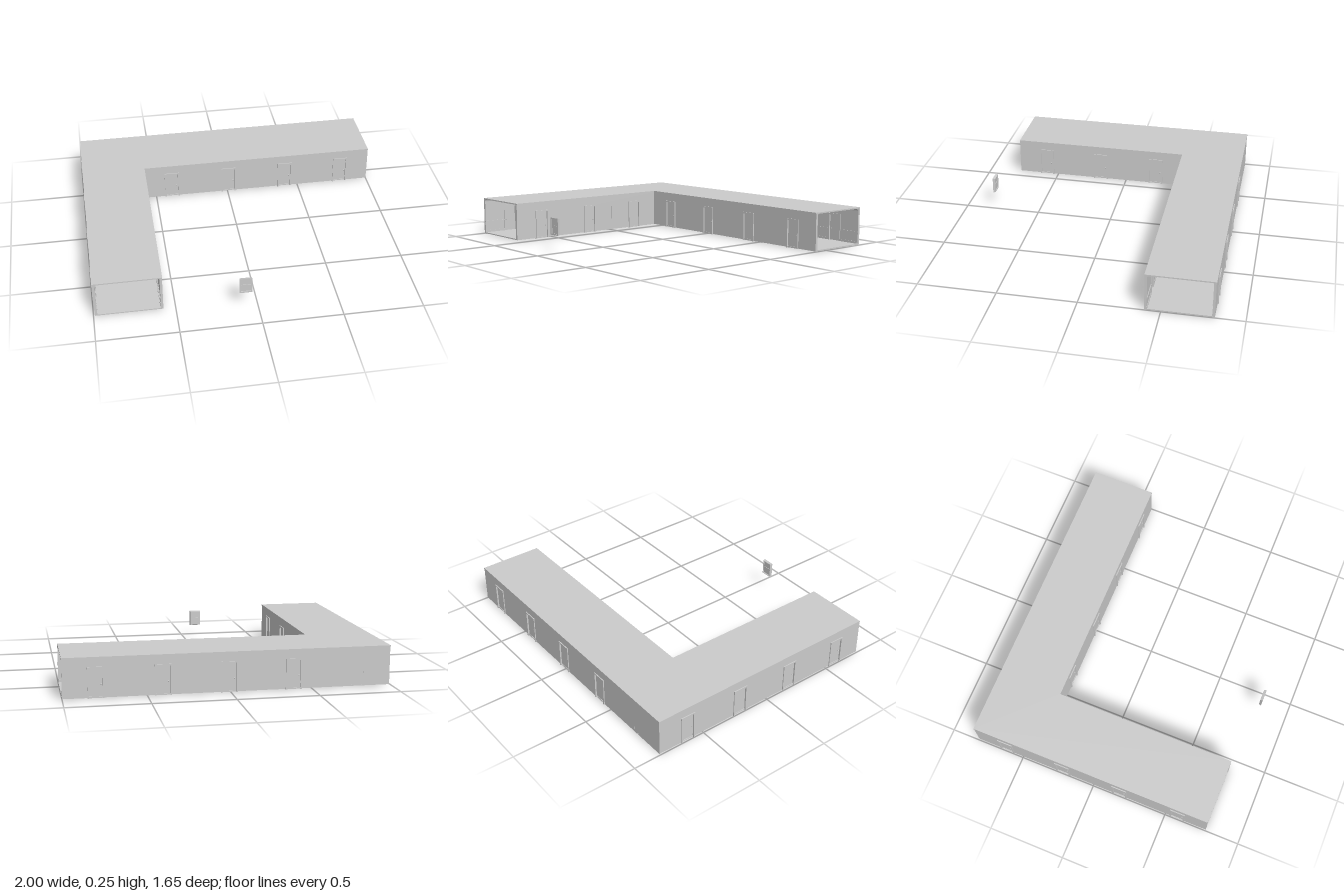
import * as THREE from 'three';

const GREY = new THREE.MeshStandardMaterial({ color: 0xcccccc, side: THREE.DoubleSide });

// Corridor outline and heights
const X0 = -0.992, X1 = -0.575, X2 = 1.0;
const Z0 = -0.819, Z1 = -0.402, Z2 = 0.778;
const FLOOR = 0.003, FLOOR_TOP = 0.01, CEILING = 0.239, TOP = 0.247;
const T = 0.015; // wall thickness
const DOOR = { w: 0.1, h: 0.188, trim: 0.009 };

function add(parent, name, geometry, x = 0, y = 0, z = 0) {
  const mesh = new THREE.Mesh(geometry, GREY);
  mesh.name = name;
  mesh.position.set(x, y, z);
  parent.add(mesh);
  return mesh;
}

function box(parent, name, w, h, d, x, y, z) {
  return add(parent, name, new THREE.BoxGeometry(w, h, d), x, y, z);
}

function polygon(points) {
  return new THREE.Shape(points.map(([x, y]) => new THREE.Vector2(x, y)));
}

function extrude(shape, depth) {
  return new THREE.ExtrudeGeometry(shape, { depth, bevelEnabled: false, curveSegments: 5 });
}

// L-shaped slab for floor and roof
function slab(parent, name, y, h, over) {
  const o = over;
  const shape = polygon([
    [X0 - o, -Z2], [X1 + o, -Z2], [X1 + o, -Z1 - o],
    [X2, -Z1 - o], [X2, -Z0 + o], [X0 - o, -Z0 + o],
  ]);
  add(parent, name, extrude(shape, h), 0, y, 0).rotation.x = -Math.PI / 2;
}

// Door with U-shaped casing, leaf and knobs; local +z points outdoors
function door(parent, u, flush) {
  const g = new THREE.Group();
  g.name = 'door';
  g.position.x = u;
  parent.add(g);
  const a = DOOR.w / 2, b = a - DOOR.trim, h = DOOR.h, k = h - DOOR.trim;
  const base = flush ? FLOOR : 0;
  const casing = polygon([[-a, base], [-b, base], [-b, k], [b, k], [b, base], [a, base], [a, h], [-a, h]]);
  const out = flush ? 0 : 0.006;
  add(g, 'doorFrame', extrude(casing, T + 0.005 + out), 0, 0, -T - 0.005);
  box(g, 'doorLeaf', 2 * b, k - base, 0.007, 0, (k + base) / 2, flush ? -0.004 : -T / 2);
  const sides = flush ? [-0.01] : [-0.013, -0.002];
  for (const z of sides) add(g, 'doorKnob', new THREE.SphereGeometry(0.004, 10, 8), b - 0.01, 0.085, z);
}

// Small wall lamp: back plate with a flared shade
function wallLamp(parent, u) {
  const g = new THREE.Group();
  g.name = 'wallLamp';
  g.position.set(u, 0.155, -T);
  parent.add(g);
  box(g, 'lampPlate', 0.012, 0.03, 0.003, 0, 0, -0.0015);
  const profile = [[0.003, -0.014], [0.006, 0], [0.009, 0.014]].map(([r, y]) => new THREE.Vector2(r, y));
  add(g, 'lampShade', new THREE.LatheGeometry(profile, 12), 0, 0, -0.011);
}

// Wall running from a to b along local x, outer face on local z = 0
function wall(parent, name, position, turn, a, b, doors, flush = []) {
  const g = new THREE.Group();
  g.name = name;
  g.position.set(...position);
  g.rotation.y = turn;
  parent.add(g);

  const all = [...doors, ...flush].sort((p, q) => p - q);
  const w = DOOR.w / 2 - 0.003, h = DOOR.h - 0.003;
  const shape = polygon([[a, FLOOR], [b, FLOOR], [b, CEILING], [a, CEILING]]);
  for (const u of all) {
    shape.holes.push(new THREE.Path([[u - w, 0.0045], [u - w, h], [u + w, h], [u + w, 0.0045]]
      .map(([x, y]) => new THREE.Vector2(x, y))));
  }
  add(g, 'wallPanel', extrude(shape, T), 0, 0, -T);
  doors.forEach((u) => door(g, u, false));
  flush.forEach((u) => door(g, u, true));

  // Dado rail and skirting between the doors
  const stops = [a + 0.004, ...all.flatMap((u) => [u - DOOR.w / 2, u + DOOR.w / 2]), b];
  for (let i = 0; i < stops.length; i += 2) {
    const len = stops[i + 1] - stops[i], mid = (stops[i] + stops[i + 1]) / 2;
    if (len <= 0) continue;
    box(g, 'dadoRail', len, 0.006, 0.004, mid, 0.086, -T - 0.002);
    box(g, 'skirting', len, 0.014, 0.003, mid, FLOOR_TOP + 0.007, -T - 0.0015);
  }

  // Ceiling cove
  const r = 0.015;
  const cove = new THREE.Shape();
  cove.moveTo(T, CEILING);
  cove.lineTo(T + r, CEILING);
  cove.quadraticCurveTo(T, CEILING, T, CEILING - r);
  add(g, 'ceilingCove', extrude(cove, b - a - 0.004), a + 0.004, 0, 0).rotation.y = Math.PI / 2;

  // Lamps halfway between neighbouring doors
  for (let i = 0; i + 1 < all.length; i++) wallLamp(g, (all[i] + all[i + 1]) / 2);
  return g;
}

// Loose framed window, bevelled towards the back
function looseWindow(parent) {
  const g = new THREE.Group();
  g.name = 'window';
  g.position.set(-0.074, 0.155, 0.815);
  parent.add(g);
  const w = 0.04, h = 0.054, rim = 0.009;
  const ring = polygon([[-w, -h], [w, -h], [w, h], [-w, h]]);
  ring.holes.push(new THREE.Path([[-w + rim, -h + rim], [-w + rim, h - rim], [w - rim, h - rim], [w - rim, -h + rim]]
    .map(([x, y]) => new THREE.Vector2(x, y))));
  const geo = extrude(ring, 0.016);
  const p = geo.attributes.position;
  for (let i = 0; i < p.count; i++) {
    if (p.getZ(i) < 0.008 && Math.abs(p.getX(i)) > w - 0.001) p.setX(i, p.getX(i) * 0.88);
    if (p.getZ(i) < 0.008 && Math.abs(p.getY(i)) > h - 0.001) p.setY(i, p.getY(i) * 0.92);
  }
  geo.computeVertexNormals();
  add(g, 'windowFrame', geo, 0, 0, -0.008);
  box(g, 'windowPane', 2 * (w - rim), 2 * (h - rim), 0.003, 0, 0, 0);
  box(g, 'windowBar', 2 * (w - rim), 0.006, 0.01, 0, 0.002, 0);
}

export function createModel() {
  const model = new THREE.Group();
  model.name = 'corridor';

  slab(model, 'floor', FLOOR, FLOOR_TOP - FLOOR, 0);
  slab(model, 'roof', CEILING, TOP - CEILING, 0.002);

  const xs = [-0.388, 0.008, 0.406, 0.803];
  const zs = [-0.214, 0.182, 0.58];
  const neg = (list) => list.map((v) => -v);
  const H = Math.PI / 2;
  wall(model, 'backWall', [0, 0, Z0], Math.PI, -X2, -X0, neg(xs), [0.786]);
  wall(model, 'rightWall', [X0, 0, 0], -H, Z0, Z2, [-0.612, ...zs]);
  wall(model, 'innerSideWall', [X1, 0, 0], H, -Z2, -Z1, neg(zs));
  wall(model, 'innerBackWall', [0, 0, Z1], 0, X1 - T, X2, xs);

  // Panel seam on the inner side wall
  box(model, 'panelSeam', 0.002, CEILING - FLOOR, 0.003, X1, (CEILING + FLOOR) / 2, -0.012);

  // Ceiling lights along both wings
  const cx = (X0 + X1) / 2, cz = (Z0 + Z1) / 2;
  for (const z of [-0.015, 0.38]) box(model, 'ceilingLight', 0.045, 0.007, 0.12, cx, CEILING - 0.0035, z);
  for (const x of [-0.19, 0.207, 0.605]) box(model, 'ceilingLight', 0.12, 0.007, 0.045, x, CEILING - 0.0035, cz);

  // Hanging signs at the corner
  box(model, 'hangingSign', 0.045, 0.024, 0.004, -0.865, CEILING - 0.012, -0.533);
  box(model, 'hangingSign', 0.004, 0.024, 0.04, -0.71, CEILING - 0.012, -0.7);

  looseWindow(model);
  return model;
}
